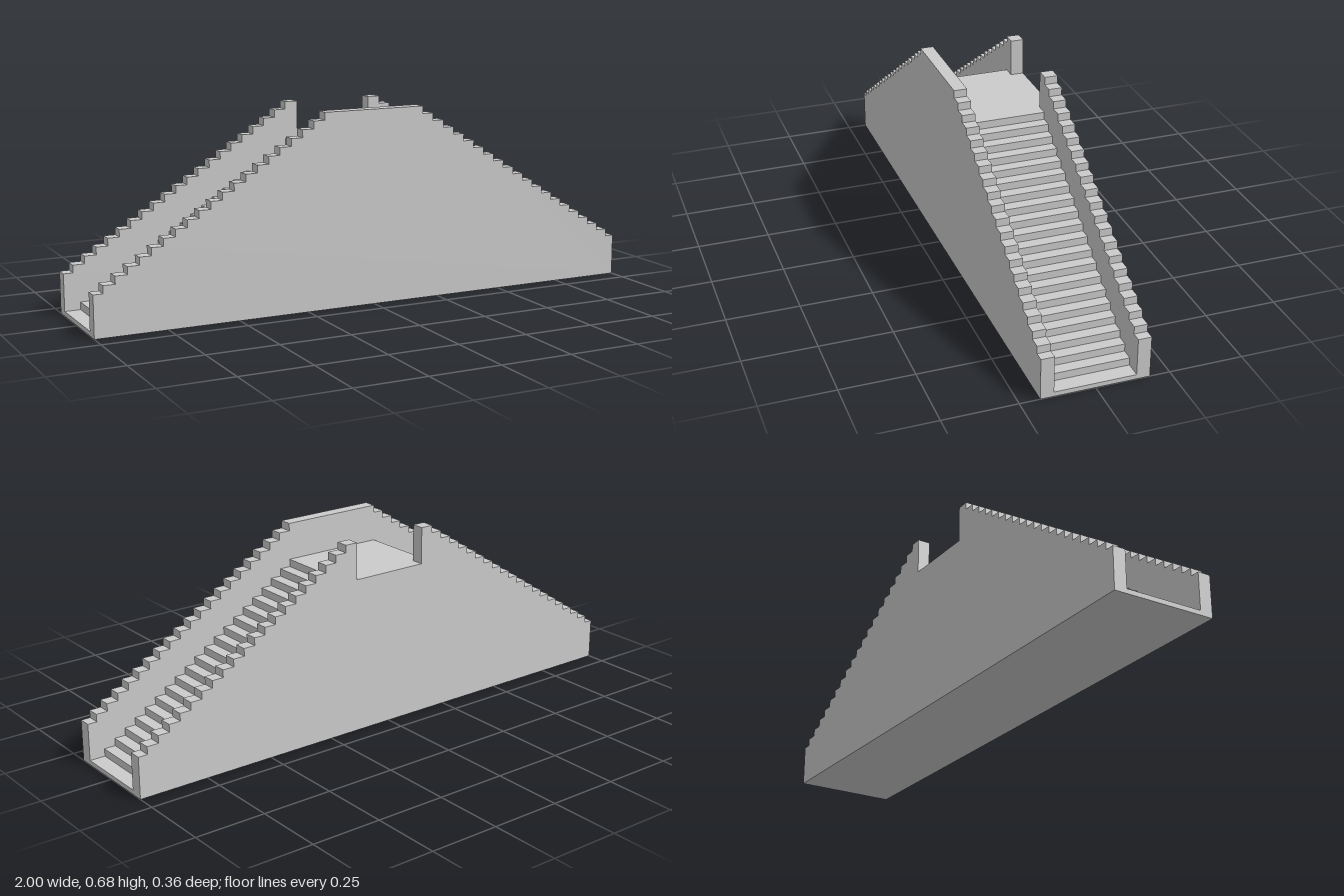
import * as THREE from 'three';

const RISERS = 20;
const RISE = 0.0265;
const HALF_DEPTH = 0.182;
const WALL = 0.045;
const LANDING_Y = 0.546;

// Right-hand half of a stepped outline, from the low outer end up to the top
function steppedSide(lowY, firstX, lastX) {
  const run = (firstX - lastX) / (RISERS - 1);
  const points = [[1, 0], [1, lowY]];
  for (let i = 0; i < RISERS; i++) {
    const x = firstX - i * run;
    points.push([x, lowY + i * RISE], [x, lowY + (i + 1) * RISE]);
  }
  return points;
}

// Mirrors the half outline across x = 0, with an optional notch in the top
function mirroredShape(side, notch = []) {
  const half = [...side, ...notch];
  const left = half.map(([x, y]) => [-x, y]).reverse();
  return new THREE.Shape([...half, ...left].map(([x, y]) => new THREE.Vector2(x, y)));
}

function slab(name, shape, zBack, depth, material) {
  const geometry = new THREE.ExtrudeGeometry(shape, { depth, bevelEnabled: false });
  geometry.translate(0, 0, zBack);
  const mesh = new THREE.Mesh(geometry, material);
  mesh.name = name;
  return mesh;
}

export function createModel() {
  const group = new THREE.Group();
  group.name = 'doubleStaircase';
  const material = new THREE.MeshStandardMaterial({ color: 0xcccccc, flatShading: true });

  const wallSide = steppedSide(0.145, 0.967, 0.186);
  const stairSide = steppedSide(0.016, 0.945, 0.186);
  const inner = HALF_DEPTH - WALL;

  // Two flights meeting at the landing
  group.add(slab('stairsAndLanding', mirroredShape(stairSide), -inner, 2 * inner, material));

  // Closed parapet wall at the front
  group.add(slab('frontWall', mirroredShape(wallSide), inner, WALL, material));

  // Back parapet wall, open at the landing
  const doorway = [[0.14, 0.675], [0.14, LANDING_Y]];
  group.add(slab('backWall', mirroredShape(wallSide, doorway), -HALF_DEPTH, WALL, material));

  return group;
}
